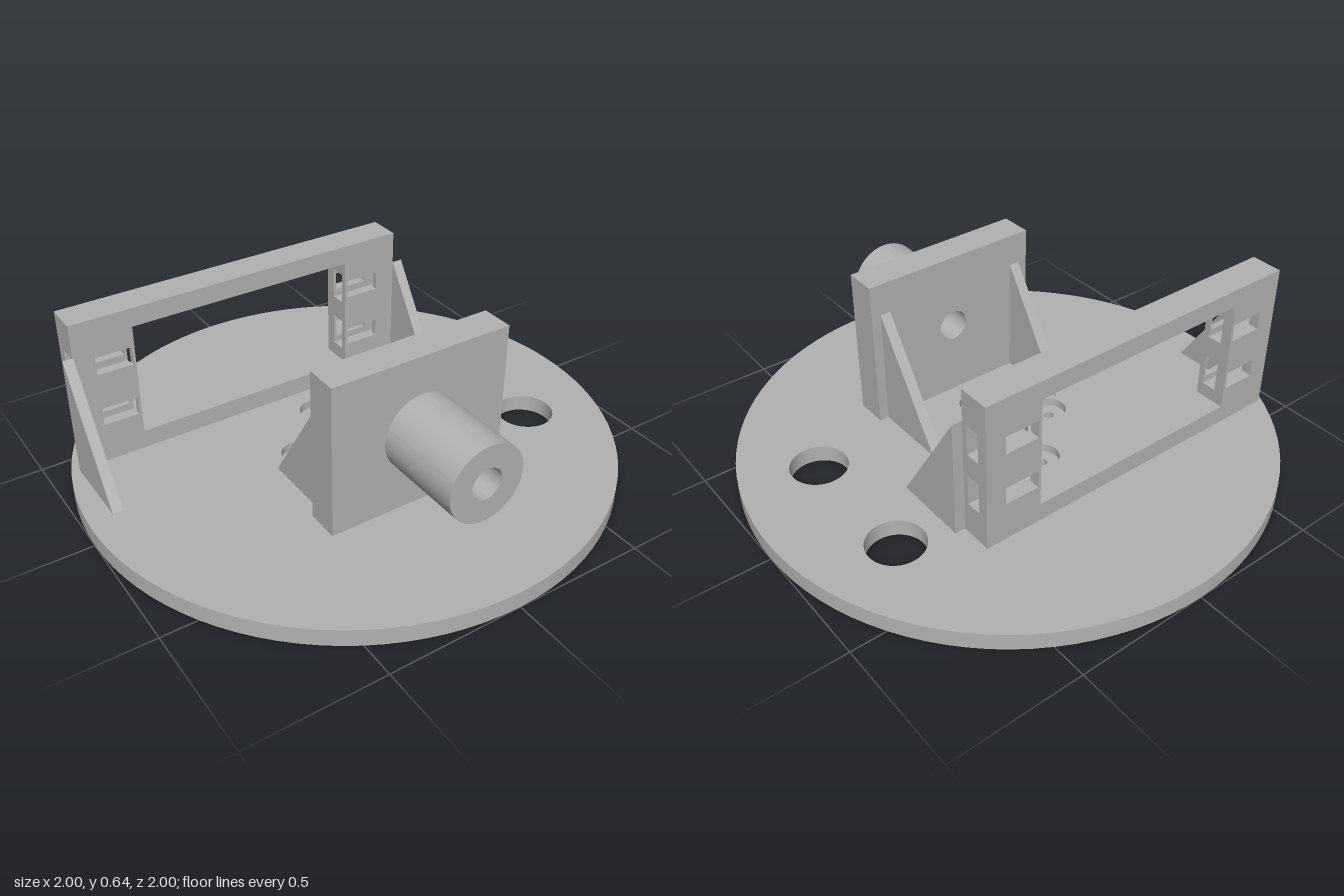
import * as THREE from 'three';
import { toCreasedNormals } from 'three/addons/utils/BufferGeometryUtils.js';

const FLOOR = 0.065, TOP = 0.644;

function circle(Type, x, y, r) {
  return new Type().absarc(x, y, r, 0, Math.PI * 2, Type === THREE.Path);
}

function extrude(shape, depth) {
  const geo = new THREE.ExtrudeGeometry(shape, { depth, bevelEnabled: false, curveSegments: 48 });
  return toCreasedNormals(geo, 0.6);
}

// Outer skin of the solid cells in an uneven grid with coordinates cuts = [xs, ys, zs]
function cellSolid(cuts, isSolid) {
  const pos = [];
  const size = cuts.map((c) => c.length - 1);
  const solid = (c) => c.every((v, a) => v >= 0 && v < size[a])
    && isSolid(...c.map((v, a) => (cuts[a][v] + cuts[a][v + 1]) / 2));
  for (let i = 0; i < size[0]; i++)
    for (let j = 0; j < size[1]; j++)
      for (let k = 0; k < size[2]; k++) {
        const cell = [i, j, k];
        if (!solid(cell)) continue;
        for (let a = 0; a < 3; a++)
          for (const side of [0, 1]) {
            const next = [...cell];
            next[a] += side ? 1 : -1;
            if (solid(next)) continue;
            const b = (a + 1) % 3, c = (a + 2) % 3;
            const corner = (u, v) => {
              const p = [];
              p[a] = cuts[a][cell[a] + side];
              p[b] = cuts[b][cell[b] + u];
              p[c] = cuts[c][cell[c] + v];
              return p;
            };
            const q = [corner(0, 0), corner(1, 0), corner(1, 1), corner(0, 1)];
            if (!side) q.reverse();
            for (const n of [0, 1, 2, 0, 2, 3]) pos.push(...q[n]);
          }
      }
  const geo = new THREE.BufferGeometry();
  geo.setAttribute('position', new THREE.Float32BufferAttribute(pos, 3));
  geo.computeVertexNormals();
  return geo;
}

export function createModel() {
  const model = new THREE.Group();
  model.name = 'mountingPlate';
  const grey = new THREE.MeshStandardMaterial({ color: 0xb2b2b2 });
  grey.name = 'grey plastic';
  const add = (name, geo) => {
    const mesh = new THREE.Mesh(geo, grey);
    mesh.name = name;
    model.add(mesh);
    return mesh;
  };

  // Round base in two layers, so the screw holes are counterbored
  const baseLayer = (name, y0, y1, screwRadius) => {
    const disc = circle(THREE.Shape, 0, 0, 1);
    disc.holes.push(circle(THREE.Path, 0, 0, 0.075));
    for (const [x, y] of [[0.2, 0], [-0.2, 0], [0, 0.2], [0, -0.2]])
      disc.holes.push(circle(THREE.Path, x, y, screwRadius));
    for (const y of [0.25, -0.25]) disc.holes.push(circle(THREE.Path, 0.665, y, 0.106));
    const geo = extrude(disc, y1 - y0);
    geo.rotateX(-Math.PI / 2);
    add(name, geo).position.y = y0;
  };
  baseLayer('baseLower', 0, 0.033, 0.019);
  baseLayer('baseUpper', 0.033, FLOOR, 0.064);

  // Front plate and its tubular boss, with one bore through both
  const plate = new THREE.Shape([
    new THREE.Vector2(-0.35, FLOOR), new THREE.Vector2(0.35, FLOOR),
    new THREE.Vector2(0.35, TOP), new THREE.Vector2(-0.35, TOP)]);
  plate.holes.push(circle(THREE.Path, 0, 0.354, 0.059));
  add('frontPlate', extrude(plate, 0.123)).position.z = 0.336;
  const boss = circle(THREE.Shape, 0, 0.354, 0.145);
  boss.holes.push(circle(THREE.Path, 0, 0.354, 0.059));
  add('boss', extrude(boss, 0.341)).position.z = 0.459;

  // Rear frame: large window, with crossing slots in both posts
  const mid = -0.215;
  const halfWidths = [0.66, 0.582, 0.448, 0.437];
  const xs = [...halfWidths.map((h) => mid - h), ...halfWidths.map((h) => mid + h).reverse()];
  const ys = [FLOOR, 0.136, 0.19, 0.217, 0.286, 0.313, 0.398, 0.425, 0.495, 0.516, 0.573, TOP];
  const zs = [-0.459, -0.417, -0.358, -0.336];
  const between = (v, a, b) => v > a && v < b;
  add('rearFrame', cellSolid([xs, ys, zs], (x, y, z) => {
    const h = Math.abs(x - mid);
    const window = h < 0.437 && between(y, 0.136, 0.573);
    const frontSlot = between(h, 0.448, 0.582)
      && (between(y, 0.217, 0.286) || between(y, 0.425, 0.495));
    const sideSlot = between(z, -0.417, -0.358)
      && (between(y, 0.19, 0.313) || between(y, 0.398, 0.516));
    return !(window || frontSlot || sideSlot);
  }));

  // Triangular ribs bracing the plate and the frame
  const rib = (name, x0, x1, side) => {
    const tri = new THREE.Shape([
      new THREE.Vector2(side * 0.336, FLOOR), new THREE.Vector2(side * 0.336, 0.52),
      new THREE.Vector2(side * 0.042, FLOOR)]);
    const geo = extrude(tri, x1 - x0);
    geo.rotateY(-Math.PI / 2);
    add(name, geo).position.x = x1;
  };
  rib('frontRibRight', -0.313, -0.272, 1);
  rib('frontRibLeft', 0.272, 0.313, 1);
  rib('rearRibRight', -0.91, -0.872, -1);
  rib('rearRibLeft', 0.445, 0.485, -1);

  return model;
}
